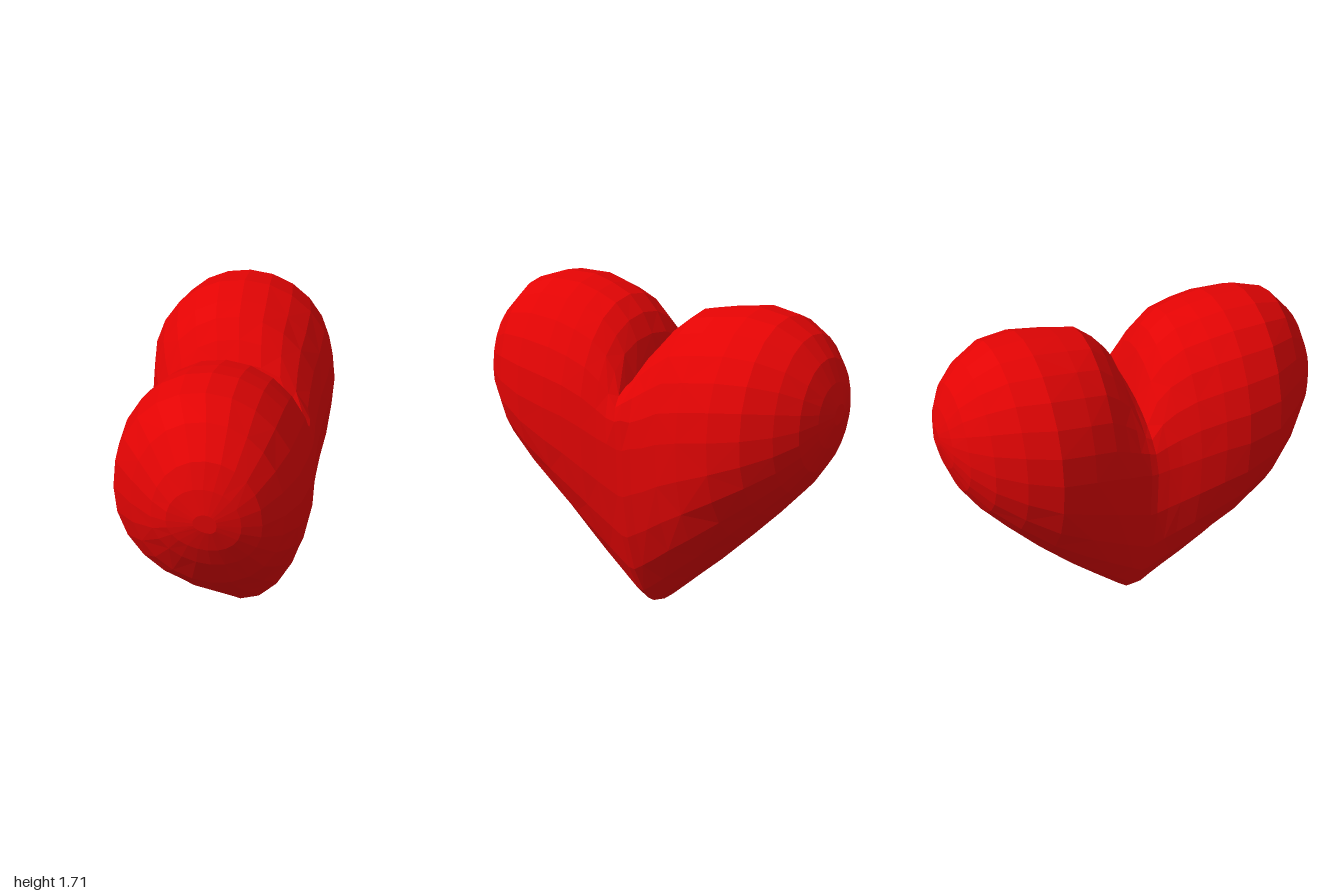
import * as THREE from 'three';

const SIDES = 24;

// Cross-sections from front to back: z, bottom, top, height of widest point, right x, left x
const SECTIONS = [
  [1.0, 1.18, 1.28, 1.23, -0.03, 0.08],
  [0.97, 1.06, 1.40, 1.21, -0.16, 0.19],
  [0.92, 0.94, 1.52, 1.19, -0.24, 0.28],
  [0.80, 0.735, 1.65, 1.17, -0.36, 0.37],
  [0.64, 0.58, 1.705, 1.14, -0.475, 0.43],
  [0.46, 0.41, 1.707, 1.11, -0.495, 0.455],
  [0.34, 0.30, 1.68, 1.09, -0.475, 0.462],
  [0.22, 0.19, 1.64, 1.05, -0.44, 0.46],
  [0.13, 0.11, 1.56, 1.01, -0.405, 0.45],
  [0.07, 0.055, 1.46, 0.99, -0.385, 0.445],
  [0.015, 0.005, 1.28, 0.97, -0.37, 0.44],
  [-0.02, 0.0, 1.32, 0.97, -0.37, 0.44],
  [-0.07, 0.04, 1.46, 0.99, -0.38, 0.44],
  [-0.14, 0.105, 1.55, 1.01, -0.40, 0.445],
  [-0.23, 0.19, 1.63, 1.05, -0.435, 0.455],
  [-0.36, 0.31, 1.655, 1.09, -0.47, 0.475],
  [-0.54, 0.49, 1.68, 1.13, -0.495, 0.485],
  [-0.70, 0.655, 1.66, 1.16, -0.44, 0.45],
  [-0.83, 0.80, 1.59, 1.18, -0.355, 0.365],
  [-0.92, 0.93, 1.49, 1.20, -0.25, 0.275],
  [-0.97, 1.06, 1.38, 1.22, -0.15, 0.18],
  [-1.0, 1.18, 1.28, 1.23, -0.03, 0.07],
];

// Egg-shaped loop, a little squarer across the floor of the cleft
function sectionLoop([z, bottom, top, mid, right, left]) {
  const loop = [];
  const centre = (left + right) / 2;
  const half = (left - right) / 2;
  const near = Math.exp(-((z / 0.04) ** 2));
  for (let k = 0; k < SIDES; k++) {
    const a = (k / SIDES) * Math.PI * 2;
    const c = Math.cos(a), s = Math.sin(a);
    if (s > 0) {
      const power = 2 / (2.05 + (c > 0 ? 1.6 : 0.8) * near);
      const x = centre + half * Math.sign(c) * Math.abs(c) ** power;
      // The cleft runs slightly askew
      const skew = 0.12 * x * s * Math.exp(-((z / 0.2) ** 2));
      loop.push(new THREE.Vector3(x, mid + (top - mid) * s ** power, z + skew));
    } else {
      // Keel set slightly to the left
      const x = centre + half * c * (1 - 0.04 * s * Math.abs(c)) + 0.02 * s * s;
      loop.push(new THREE.Vector3(x, mid + (mid - bottom) * s, z));
    }
  }
  return loop;
}

function heartGeometry() {
  const loops = SECTIONS.map(sectionLoop);
  const points = [];
  const tri = (a, b, c) => points.push(a, b, c);

  // Skin between neighbouring loops, with alternating diagonals
  for (let i = 0; i < loops.length - 1; i++) {
    const A = loops[i], C = loops[i + 1];
    for (let k = 0; k < SIDES; k++) {
      const n = (k + 1) % SIDES;
      if ((i + k) % 2 === 0) {
        tri(A[k], C[k], A[n]);
        tri(A[n], C[k], C[n]);
      } else {
        tri(A[k], C[k], C[n]);
        tri(A[k], C[n], A[n]);
      }
    }
  }

  // Small end caps
  const first = loops[0], last = loops[loops.length - 1];
  const frontCentre = new THREE.Vector3(0.025, 1.23, 1.0);
  const backCentre = new THREE.Vector3(0.02, 1.23, -1.0);
  for (let k = 0; k < SIDES; k++) {
    const n = (k + 1) % SIDES;
    tri(frontCentre, first[k], first[n]);
    tri(backCentre, last[n], last[k]);
  }

  // Unshared corners give flat facets
  const geometry = new THREE.BufferGeometry().setFromPoints(points);
  geometry.computeVertexNormals();
  return geometry;
}

export function createModel() {
  const group = new THREE.Group();
  group.name = 'heart';
  const red = new THREE.MeshStandardMaterial({ color: 0xe30404 });
  red.name = 'red';
  const body = new THREE.Mesh(heartGeometry(), red);
  body.name = 'heartBody';
  group.add(body);
  return group;
}
